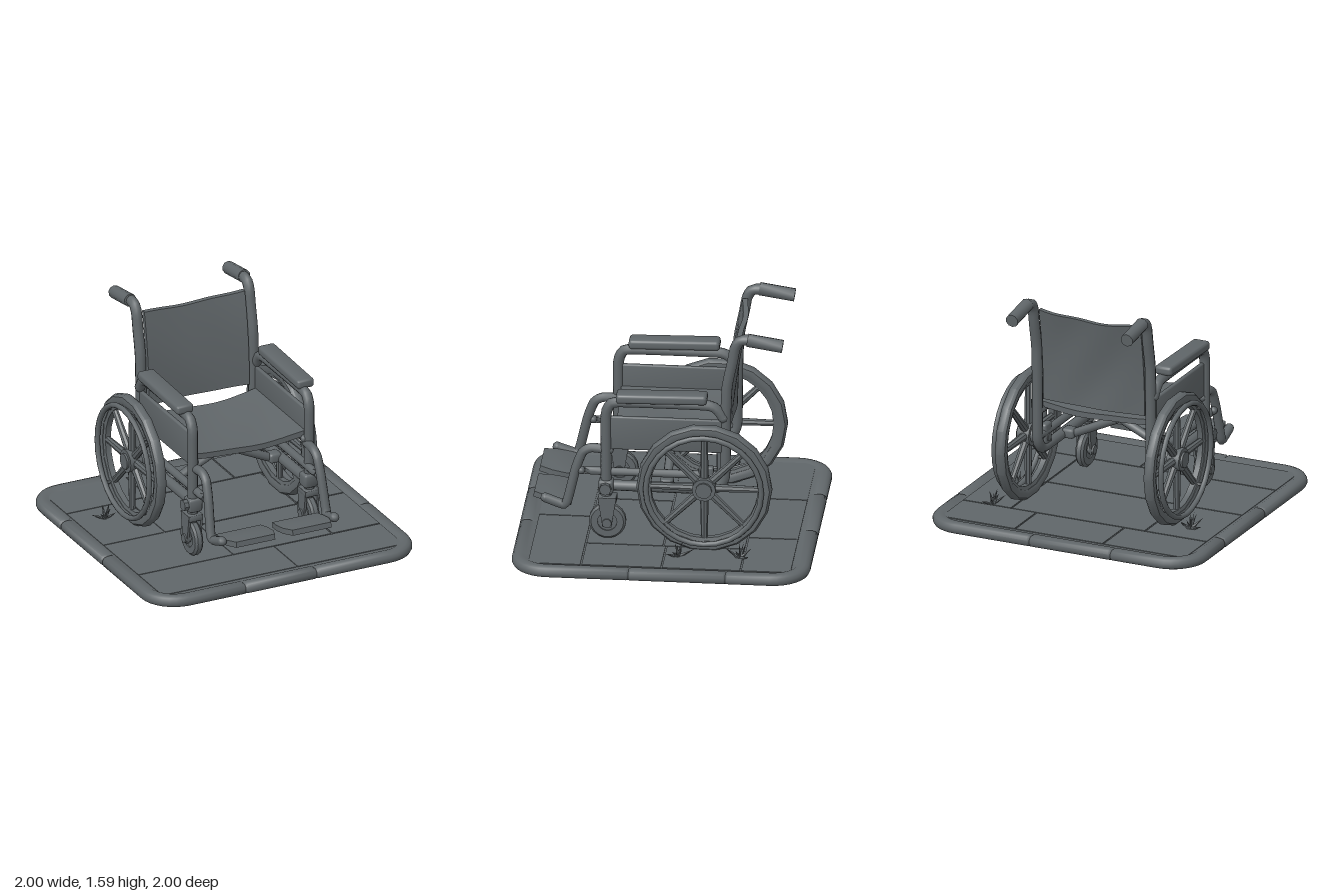
import * as THREE from 'three';
import { toCreasedNormals, mergeGeometries } from 'three/addons/utils/BufferGeometryUtils.js';
import { RoundedBoxGeometry } from 'three/addons/geometries/RoundedBoxGeometry.js';

const V = (x, y, z) => new THREE.Vector3(x, y, z);

export function createModel() {
  const model = new THREE.Group();
  const stoneGrey = new THREE.MeshStandardMaterial({ color: 0x606669 });

  function add(parent, name, geo, crease = 0.7) {
    const mesh = new THREE.Mesh(toCreasedNormals(geo, crease), stoneGrey);
    mesh.name = name;
    parent.add(mesh);
    return mesh;
  }
  function group(name) {
    const g = new THREE.Group();
    g.name = name;
    model.add(g);
    return g;
  }
  // Bent pipe with rounded ends
  function pipe(parent, name, pts, r) {
    const curve = new THREE.CatmullRomCurve3(pts, false, 'catmullrom', 0.3);
    const parts = [new THREE.TubeGeometry(curve, pts.length * 6, r, 10)];
    for (const p of [pts[0], pts[pts.length - 1]]) {
      parts.push(new THREE.SphereGeometry(r, 10, 6).translate(p.x, p.y, p.z));
    }
    return add(parent, name, mergeGeometries(parts), 1);
  }
  const axleX = (r, len, sides = 14) => new THREE.CylinderGeometry(r, r, len, sides).rotateZ(Math.PI / 2);
  // Ring around the x axis from a closed radius/width profile
  const ringX = (profile, sides) =>
    new THREE.LatheGeometry(profile.map(([r, w]) => new THREE.Vector2(r, w)), sides).rotateZ(Math.PI / 2);
  // Subdivided sheet bent by a rule
  function cloth(w, h, d, segs, rule) {
    const geo = new THREE.BoxGeometry(w, h, d, ...segs);
    const p = geo.attributes.position;
    for (let i = 0; i < p.count; i++) {
      const v = rule(V(p.getX(i), p.getY(i), p.getZ(i)));
      p.setXYZ(i, v.x, v.y, v.z);
    }
    return geo;
  }

  // Base slab: rounded square with a raised kerb pinched at the seams
  function baseGeometry() {
    const seams = [[-0.45, 0.2], [-0.2, 0.33], [-0.17, 0.45], [-0.4, 0.2]];
    const loop = [];
    seams.forEach((list, k) => {
      const a0 = k * Math.PI / 2, c = Math.cos(a0), s = Math.sin(a0);
      const put = (x, z, a, pinch) => loop.push({ x: x * c - z * s, z: x * s + z * c, a: a0 + a, pinch });
      for (const t of list) [-0.014, 0, 0.014].forEach((o) => put(0.75, t + o, 0, o === 0 ? 1 : 0));
      for (let i = 0; i <= 8; i++) put(0.75, 0.75, i * Math.PI / 16, 0);
    });
    const profile = [[0.04, 0], [0.01, 0.012], [0, 0.03], [0, 0.052], [0.012, 0.072],
      [0.035, 0.081], [0.07, 0.081], [0.095, 0.069]];
    const pos = [], idx = [], n = loop.length;
    for (const [inset, y] of profile) {
      for (const q of loop) {
        const r = 0.25 - inset - (inset < 0.03 ? 0.012 * q.pinch : 0);
        pos.push(q.x + Math.cos(q.a) * r, y - (y > 0.07 ? 0.01 * q.pinch : 0), q.z + Math.sin(q.a) * r);
      }
    }
    const last = (profile.length - 1) * n, bottom = profile.length * n;
    pos.push(0, 0, 0, 0, 0.069, 0);
    for (let i = 0; i < n; i++) {
      const e = (i + 1) % n;
      for (let j = 0; j < profile.length - 1; j++) {
        const a = j * n, b = a + n;
        idx.push(a + i, b + i, a + e, a + e, b + i, b + e);
      }
      idx.push(bottom, i, e, bottom + 1, last + e, last + i);
    }
    const geo = new THREE.BufferGeometry();
    geo.setAttribute('position', new THREE.Float32BufferAttribute(pos, 3));
    geo.setIndex(idx);
    return geo;
  }
  const ground = group('ground');
  add(ground, 'baseSlab', baseGeometry(), 0.9);

  // Paving slabs: x0, x1, z0, z1
  [[-0.9, -0.3, -0.88, -0.55], [-0.29, 0.35, -0.88, -0.55], [0.36, 0.9, -0.88, -0.55],
    [-0.9, -0.45, -0.54, 0], [-0.44, 0.54, -0.54, 0], [0.55, 0.9, -0.54, -0.02],
    [-0.9, -0.2, 0.01, 0.52], [-0.19, 0.54, 0.01, 0.52], [0.55, 0.9, -0.01, 0.52],
    [-0.9, 0.1, 0.53, 0.88], [0.11, 0.9, 0.53, 0.88]].forEach(([x0, x1, z0, z1], i) => {
    const h = 0.008 + (i % 3) * 0.001;
    add(ground, 'pavingSlab', new THREE.BoxGeometry(x1 - x0, h, z1 - z0)
      .translate((x0 + x1) / 2, 0.068 + h / 2 - 0.003, (z0 + z1) / 2));
  });

  // Grass tufts beside the wheels
  [[0.69, -0.52], [0.7, -0.11], [-0.7, -0.37]].forEach(([x, z], t) => {
    const tuft = group('grassTuft');
    tuft.position.set(x, 0.07, z);
    for (let i = 0; i < 11; i++) {
      const len = 0.085 + 0.035 * ((i * 7 + t * 3) % 5) / 4;
      const blade = add(tuft, 'blade', new THREE.ConeGeometry(0.016, len, 4).scale(1, 1, 0.5).translate(0, len / 2, 0));
      blade.rotation.set(0, i * 2.4 + t, -(0.25 + 0.95 * (i % 4) / 3), 'YXZ');
    }
  });

  for (const s of [1, -1]) {
    const side = s > 0 ? 'left' : 'right';
    const P = (x, list) => list.map(([z, y]) => V(s * x, y, z));

    // Frame pipes, given as [z, y]
    const frame = group(side + 'Frame');
    pipe(frame, 'backPost', P(0.42, [[0.38, 0.45], [-0.28, 0.45], [-0.36, 0.48], [-0.395, 0.56], [-0.4, 0.95],
      [-0.41, 1.2], [-0.445, 1.38], [-0.465, 1.49], [-0.5, 1.54], [-0.57, 1.545], [-0.74, 1.52]]), 0.037);
    const grip = add(frame, 'handGrip', new THREE.CylinderGeometry(0.045, 0.045, 0.24, 10).rotateX(Math.PI / 2));
    grip.position.set(s * 0.425, 1.53, -0.665);
    grip.rotation.x = -0.15;
    pipe(frame, 'armrestPipe', P(0.435, [[0.4, 0.34], [0.4, 0.7], [0.4, 0.97], [0.375, 1.04], [0.31, 1.065],
      [-0.26, 1.065], [-0.34, 1.04], [-0.385, 0.98]]), 0.036);
    pipe(frame, 'seatRail', P(0.41, [[0.38, 0.745], [-0.39, 0.745]]), 0.03);
    pipe(frame, 'middleRail', P(0.42, [[0.57, 0.55], [-0.39, 0.55]]), 0.028);
    pipe(frame, 'legPipe', [V(s * 0.425, 0.71, 0.38), V(s * 0.415, 0.715, 0.5), V(s * 0.415, 0.68, 0.56),
      V(s * 0.42, 0.56, 0.605), V(s * 0.43, 0.33, 0.66), V(s * 0.425, 0.3, 0.69), V(s * 0.42, 0.34, 0.81)], 0.032);
    add(frame, 'sidePanel', new RoundedBoxGeometry(0.03, 0.24, 0.77, 2, 0.012).translate(s * 0.43, 0.84, 0));
    add(frame, 'armPad', new RoundedBoxGeometry(0.125, 0.066, 0.61, 3, 0.022)
      .rotateX(0.02).translate(s * 0.45, 1.118, 0.025));
    add(frame, 'frontBracket', new RoundedBoxGeometry(0.1, 0.1, 0.1, 2, 0.02).translate(s * 0.43, 0.45, 0.4));
    add(frame, 'frontKnob', axleX(0.04, 0.05, 8).translate(s * 0.485, 0.45, 0.4));
    add(frame, 'braceFoot', new RoundedBoxGeometry(0.09, 0.07, 0.09, 2, 0.02).translate(s * 0.37, 0.46, 0));

    // Footplate: narrower toward the toes, front edge raised
    const plate = cloth(0.36, 0.06, 0.26, [4, 2, 3], (v) => {
      const edge = Math.max(Math.abs(v.x) / 0.18, Math.abs(v.z) / 0.13);
      if (edge > 0.99) v.y *= 0.65;
      v.x *= Math.abs(v.z) > 0.12 ? (v.z > 0 ? 0.8 : 0.93) : 0.98 - v.z * 0.25;
      return v;
    });
    add(frame, 'footplate', plate.rotateX(-0.17).translate(s * 0.21, 0.312, 0.765));

    // Caster with fork
    const caster = group(side + 'Caster');
    caster.position.set(s * 0.435, 0.2, 0.39);
    add(caster, 'casterTyre', ringX([[0.065, -0.03], [0.11, -0.03], [0.125, -0.015], [0.125, 0.015],
      [0.11, 0.03], [0.065, 0.03], [0.065, -0.03]], 18));
    add(caster, 'casterDisc', axleX(0.07, 0.04));
    add(caster, 'casterHub', axleX(0.032, 0.13, 10));
    for (const o of [-1, 1]) {
      const fork = new THREE.Shape([[-0.03, -0.03], [0.03, -0.03], [0.062, 0.18], [-0.062, 0.18]]
        .map(([a, b]) => new THREE.Vector2(a, b)));
      add(caster, 'forkArm', new THREE.ExtrudeGeometry(fork, { depth: 0.016, bevelEnabled: false })
        .translate(0, 0, -0.008).rotateY(Math.PI / 2).translate(o * 0.045, 0, 0));
    }
    add(caster, 'forkCrown', new RoundedBoxGeometry(0.106, 0.05, 0.124, 2, 0.012).translate(0, 0.16, 0));

    // Large wheel with hand rim, hub and eight spokes
    const wheel = group(side + 'Wheel');
    wheel.position.set(s * 0.55, 0.515, -0.27);
    add(wheel, 'tyre', ringX([[0.385, -0.03], [0.41, -0.04], [0.44, -0.036], [0.455, -0.018], [0.455, 0.018],
      [0.44, 0.036], [0.41, 0.04], [0.385, 0.03], [0.385, -0.03]], 18));
    add(wheel, 'wheelRim', ringX([[0.36, -0.02], [0.39, -0.028], [0.39, 0.028], [0.36, 0.02], [0.36, -0.02]], 24));
    add(wheel, 'handRim', new THREE.TorusGeometry(0.387, 0.019, 8, 28).rotateY(Math.PI / 2).translate(s * 0.067, 0, 0), 1);
    add(wheel, 'hub', axleX(0.08, 0.09, 14).translate(s * 0.005, 0, 0));
    add(wheel, 'hubCap', axleX(0.055, 0.13, 12));
    add(wheel, 'axle', axleX(0.03, 0.14, 10).translate(-s * 0.09, 0, 0));
    add(wheel, 'axlePlate', new RoundedBoxGeometry(0.05, 0.2, 0.1, 2, 0.015).translate(-s * 0.13, 0, 0));
    for (let i = 0; i < 8; i++) {
      const a = i * Math.PI / 4;
      add(wheel, 'spoke', new THREE.CylinderGeometry(0.022, 0.029, 0.31, 8).translate(0, 0.22, 0).rotateX(a));
      // Studs joining the hand rim to the wheel
      if (i % 2) add(wheel, 'handRimStud', axleX(0.012, 0.07, 6)
        .translate(s * 0.035, Math.cos(a) * 0.385, Math.sin(a) * 0.385));
    }
  }

  // Folding brace under the seat
  const brace = group('foldingBrace');
  for (const s of [1, -1]) pipe(brace, 'braceBar', [V(0, 0.62, 0), V(s * 0.36, 0.45, 0)], 0.03);

  // Sagging seat and backrest
  const seat = group('seating');
  add(seat, 'seat', cloth(0.83, 0.04, 0.74, [16, 1, 12], (v) => {
    const u = v.x / 0.415;
    v.y += 0.782 - 0.035 * (1 - u * u) + 0.006 * Math.sin(v.z * 9 + u * 4) * (1 - u * u);
    v.z += 0.01 - 0.012 * (1 - u * u) * Math.sign(v.z) * (Math.abs(v.z) > 0.36 ? 1 : 0);
    return v;
  }), 1);
  add(seat, 'backrest', cloth(0.75, 0.66, 0.035, [16, 14, 1], (v) => {
    const u = v.x / 0.375, t = v.y / 0.66 + 0.5, sag = 1 - u * u;
    v.z += -0.385 - 0.07 * t * t - 0.025 * sag + 0.005 * Math.sin(u * 5 + t * 7) * sag;
    v.y += 1.165 - 0.022 * sag * t + 0.006 * Math.sin(u * 5) * t * sag;
    return v;
  }), 1);

  return model;
}
